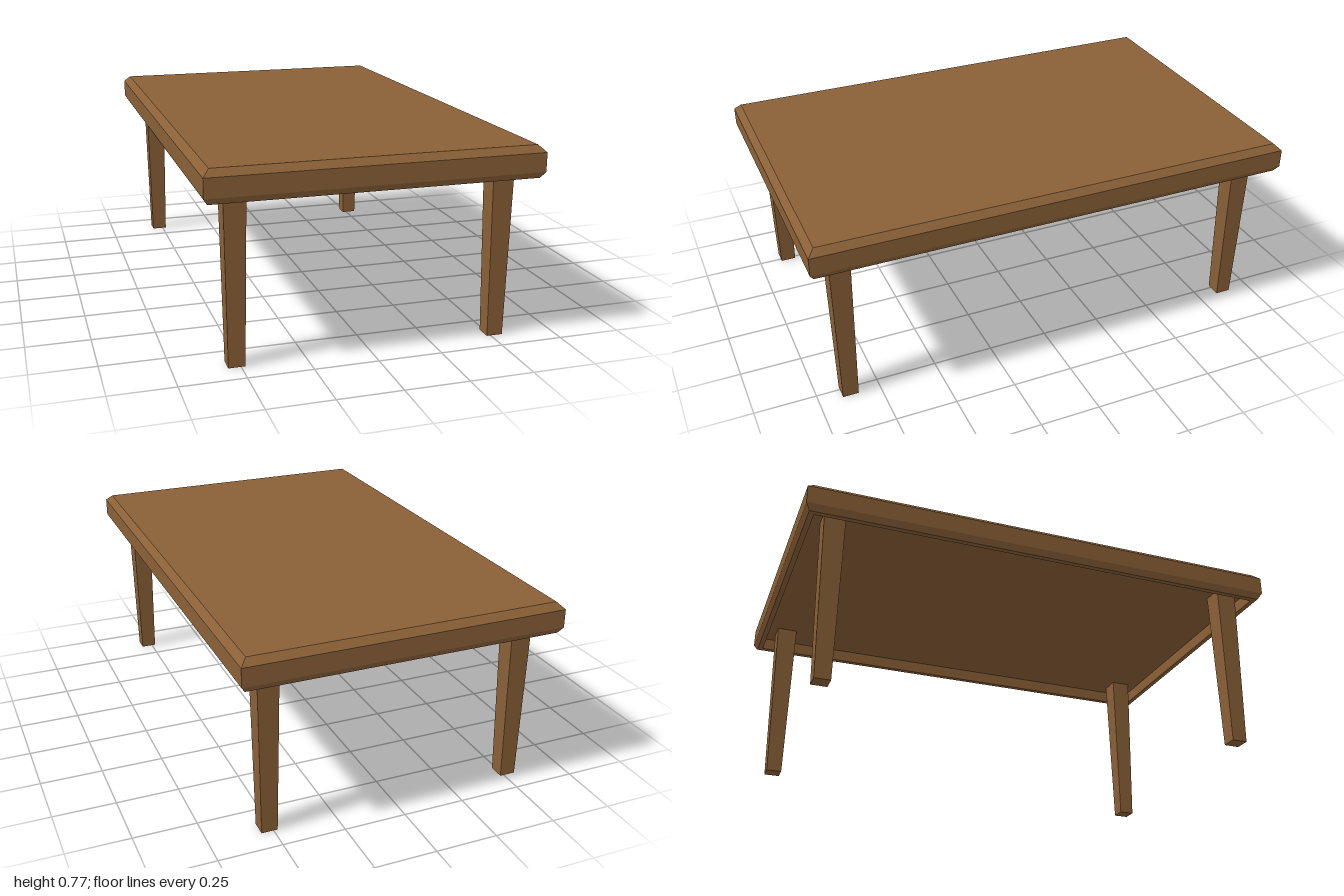
import * as THREE from 'three';

const CORNERS = [[1, 1], [1, -1], [-1, -1], [-1, 1]];

// Closed flat-faced solid from rectangular rings [halfX, y, halfZ], listed from the top cap to the bottom cap
function ringSolid(rings) {
  const pos = [];
  const point = ([hx, y, hz], i) => [CORNERS[i % 4][0] * hx, y, CORNERS[i % 4][1] * hz];
  const quad = (a, b, c, d) => pos.push(...a, ...b, ...c, ...a, ...c, ...d);
  const first = rings[0], last = rings[rings.length - 1];
  quad(...[0, 1, 2, 3].map(i => point(first, i)));
  for (let r = 0; r < rings.length - 1; r++) {
    for (let i = 0; i < 4; i++) {
      quad(point(rings[r + 1], i), point(rings[r + 1], i + 1), point(rings[r], i + 1), point(rings[r], i));
    }
  }
  quad(...[3, 2, 1, 0].map(i => point(last, i)));
  const geometry = new THREE.BufferGeometry();
  geometry.setAttribute('position', new THREE.Float32BufferAttribute(pos, 3));
  geometry.computeVertexNormals();
  return geometry;
}

export function createModel() {
  const table = new THREE.Group();
  table.name = 'table';
  const wood = new THREE.MeshStandardMaterial({ color: 0x8a6037 });
  wood.name = 'brown wood';

  // Tabletop: bevelled slab with a shallow recess underneath
  const top = new THREE.Mesh(ringSolid([
    [0.617, 0.773, 0.973],
    [0.643, 0.747, 1],
    [0.643, 0.673, 1],
    [0.627, 0.648, 0.984],
    [0.605, 0.648, 0.962],
    [0.605, 0.7, 0.962],
  ]), wood);
  top.name = 'tabletop';
  table.add(top);

  // Four tapered legs reaching up into the recess
  const legGeometry = ringSolid([[0.043, 0.702, 0.043], [0.032, 0, 0.032]]);
  for (const [sx, sz] of CORNERS) {
    const leg = new THREE.Mesh(legGeometry, wood);
    leg.name = (sz > 0 ? 'front' : 'back') + (sx > 0 ? 'Left' : 'Right') + 'Leg';
    leg.position.set(sx * 0.516, 0, sz * 0.872);
    table.add(leg);
  }
  return table;
}
